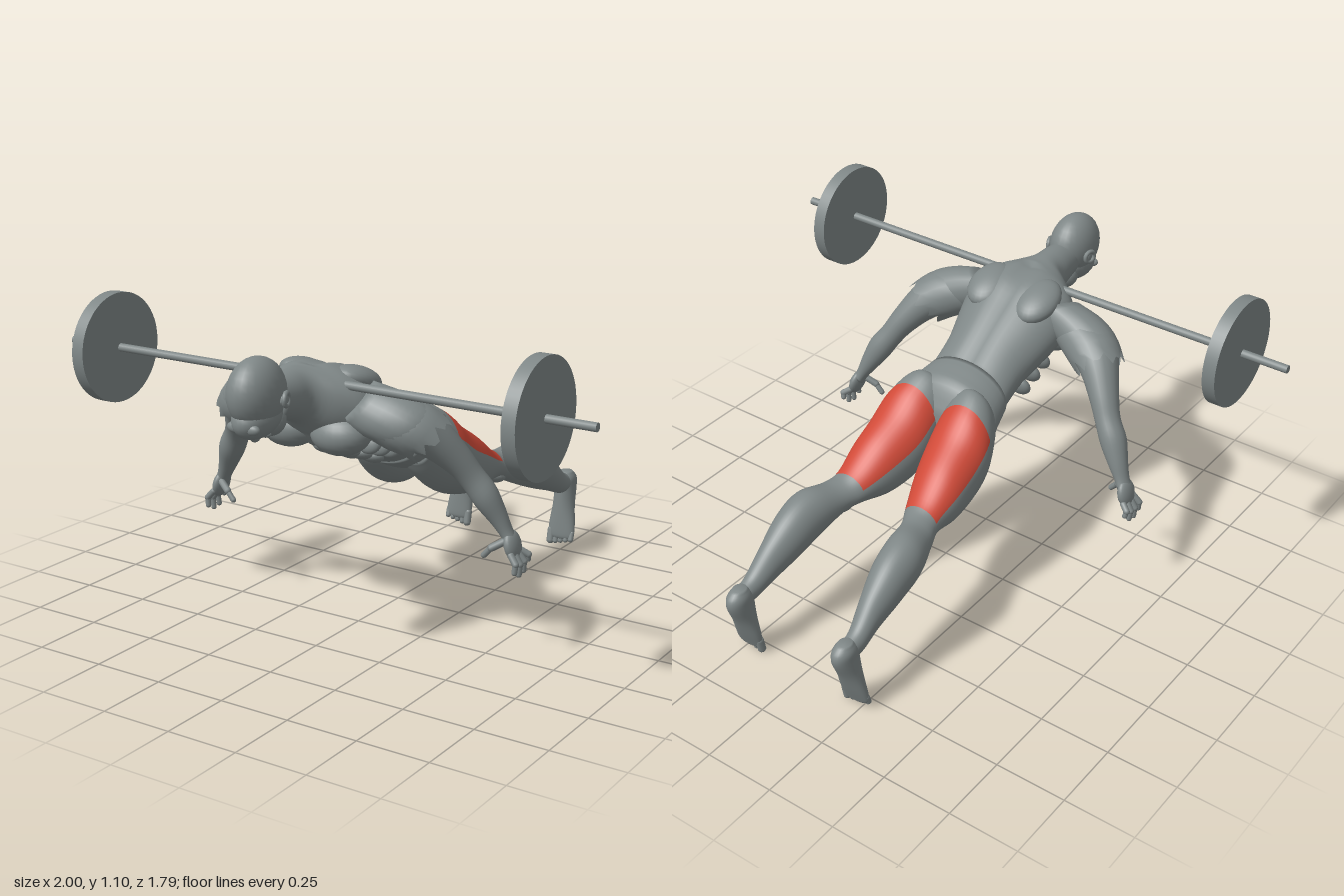
import * as THREE from 'three';

const mat = (name, color, side = THREE.FrontSide) => {
  const m = new THREE.MeshStandardMaterial({ color, side });
  m.name = name;
  return m;
};
const V = (x, y, z) => new THREE.Vector3(x, y, z);

export function createModel() {
  const model = new THREE.Group();
  model.name = 'liftingFigure';
  const grey = mat('slate grey', 0x7f8787);
  const red = mat('muscle red', 0xd04a38);
  const sleeveGrey = mat('sleeve grey', 0x7f8787, THREE.DoubleSide);

  const add = (name, geo, material = grey) => {
    const mesh = new THREE.Mesh(geo, material);
    mesh.name = name;
    model.add(mesh);
    return mesh;
  };

  // Smooth skin through elliptical rings [x, y, z, ru, rv] lying in the u-v plane
  function loft(name, rings, { u = V(1, 0, 0), v = V(0, 1, 0), n = 28, sub = 4, cap = true, deform, isRed, material = grey } = {}) {
    const path = new THREE.CatmullRomCurve3(rings.map(r => V(r[0], r[1], r[2])), false, 'catmullrom', 0.5);
    const size = new THREE.CatmullRomCurve3(rings.map(r => V(r[3], r[4], 0)), false, 'catmullrom', 0.5);
    const steps = (rings.length - 1) * sub, rows = [];
    for (let i = 0; i <= steps; i++) {
      rows.push({ c: path.getPoint(i / steps), s: size.getPoint(i / steps), t: i / steps });
    }
    if (cap) {
      rows.unshift({ ...rows[0], s: V(0, 0, 0) });
      rows.push({ ...rows[rows.length - 1], s: V(0, 0, 0) });
    }
    const pos = [], lists = [[], []];
    for (const { c, s, t } of rows) {
      for (let j = 0; j < n; j++) {
        const a = j / n * Math.PI * 2;
        const p = c.clone().addScaledVector(u, s.x * Math.cos(a)).addScaledVector(v, s.y * Math.sin(a));
        if (deform) deform(p, a, t, j);
        pos.push(p.x, p.y, p.z);
      }
    }
    const along = rows[rows.length - 1].c.clone().sub(rows[0].c);
    const flip = along.dot(u.clone().cross(v)) < 0;
    for (let i = 0; i < rows.length - 1; i++) {
      for (let j = 0; j < n; j++) {
        const k = (j + 1) % n;
        const a = i * n + j, b = i * n + k, c = a + n, d = b + n;
        const z = (rows[i].c.z + rows[i + 1].c.z) / 2;
        const list = lists[isRed && isRed(z, Math.sin((j + 0.5) / n * Math.PI * 2)) ? 1 : 0];
        list.push(...(flip ? [a, d, b, a, c, d] : [a, b, d, a, d, c]));
      }
    }
    const geo = new THREE.BufferGeometry();
    geo.setAttribute('position', new THREE.Float32BufferAttribute(pos, 3));
    geo.setIndex([...lists[0], ...lists[1]]);
    geo.addGroup(0, lists[0].length, 0);
    geo.addGroup(lists[0].length, lists[1].length, 1);
    geo.computeVertexNormals();
    return add(name, geo, isRed ? [grey, red] : material);
  }

  const ball = (name, x, y, z, rx, ry, rz, tilt = 0) => {
    const m = add(name, new THREE.SphereGeometry(1, 24, 16));
    m.position.set(x, y, z);
    m.scale.set(rx, ry, rz);
    m.rotation.x = tilt;
    return m;
  };

  // Rounded finger-like rod from a to b
  const rod = (name, a, b, r) => {
    const d = b.clone().sub(a);
    const m = add(name, new THREE.CapsuleGeometry(r, d.length(), 4, 10));
    m.position.copy(a).add(b).multiplyScalar(0.5);
    m.quaternion.setFromUnitVectors(V(0, 1, 0), d.normalize());
  };

  // Barbell
  const barGeo = new THREE.CylinderGeometry(0.014, 0.014, 2, 20).rotateZ(Math.PI / 2);
  add('bar', barGeo).position.set(0, 0.908, 0.505);
  for (const s of [-1, 1]) {
    const plate = new THREE.CylinderGeometry(0.188, 0.188, 0.046, 56).rotateZ(Math.PI / 2);
    add('weightPlate', plate).position.set(s * 0.812, 0.908, 0.505);
  }

  // Head, tipped forward, with face underneath
  ball('skull', 0, 0.928, 0.785, 0.081, 0.112, 0.111);
  ball('face', 0, 0.855, 0.785, 0.067, 0.066, 0.098, 0.2);
  ball('jaw', 0, 0.83, 0.722, 0.052, 0.052, 0.05);
  ball('nose', 0, 0.797, 0.795, 0.013, 0.022, 0.026);
  ball('lips', 0, 0.792, 0.752, 0.026, 0.013, 0.014);
  for (const s of [-1, 1]) {
    ball('brow', s * 0.03, 0.832, 0.853, 0.03, 0.018, 0.016);
    const ear = add('ear', new THREE.TorusGeometry(0.02, 0.008, 8, 18));
    ear.position.set(s * 0.086, 0.912, 0.752);
    ear.rotation.set(0, Math.PI / 2 + s * 0.3, 0);
    ball('earLobe', s * 0.081, 0.908, 0.754, 0.008, 0.02, 0.02);
  }

  // Torso rings: z, back height, belly height, half width
  const trunk = rows => rows.map(([z, top, low, w]) => [0, (top + low) / 2, z, w, (top - low) / 2]);
  const spine = p => {
    const k = 1 - Math.abs(p.x) / 0.05;
    if (k > 0 && p.z < 0.52 && p.y > 0.7) p.y -= 0.014 * k;
  };
  loft('torso', trunk([
    [0.72, 0.96, 0.83, 0.06], [0.65, 0.965, 0.81, 0.068], [0.59, 0.965, 0.785, 0.08],
    [0.54, 0.962, 0.74, 0.145], [0.48, 0.965, 0.69, 0.198], [0.4, 0.948, 0.655, 0.2],
    [0.32, 0.898, 0.625, 0.183], [0.22, 0.83, 0.58, 0.16], [0.1, 0.745, 0.53, 0.16],
  ]), { n: 48, deform: spine });
  loft('pelvis', trunk([
    [0.12, 0.763, 0.535, 0.168], [0.06, 0.75, 0.508, 0.182], [0.0, 0.725, 0.485, 0.19], [-0.05, 0.63, 0.5, 0.12],
  ]), { n: 40 });

  // Belly muscles and chest
  for (const s of [-1, 1]) {
    ball('chestMuscle', s * 0.098, 0.745, 0.485, 0.105, 0.072, 0.085, 0.2);
    ball('shoulderBlade', s * 0.1, 0.9, 0.4, 0.075, 0.045, 0.1, -0.35);
    [[0.37, 0.648], [0.3, 0.622], [0.23, 0.592]].forEach(([z, y]) =>
      ball('bellyMuscle', s * 0.045, y, z, 0.043, 0.022, 0.036, -0.35));
    for (let i = 0; i < 3; i++) ball('ribMuscle', s * 0.13, 0.69 - i * 0.022, 0.37 - i * 0.06, 0.045, 0.04, 0.024, -0.4);
  }

  for (const s of [-1, 1]) {
    // Leg rings: z, x, top, bottom, half width
    const legRows = [
      [0.06, 0.095, 0.66, 0.53, 0.07], [0.02, 0.1, 0.735, 0.475, 0.094], [-0.06, 0.115, 0.7, 0.405, 0.114],
      [-0.14, 0.122, 0.635, 0.37, 0.113], [-0.235, 0.135, 0.573, 0.357, 0.098], [-0.335, 0.15, 0.495, 0.375, 0.071],
      [-0.4, 0.175, 0.474, 0.363, 0.066], [-0.5, 0.2, 0.487, 0.318, 0.075], [-0.6, 0.207, 0.455, 0.278, 0.067],
      [-0.7, 0.214, 0.378, 0.243, 0.047], [-0.78, 0.222, 0.302, 0.213, 0.035], [-0.84, 0.222, 0.275, 0.215, 0.031],
    ];
    loft('leg', legRows.map(([z, x, top, low, w]) => [s * x, (top + low) / 2, z, w, (top - low) / 2]), {
      n: 36, sub: 6, isRed: (z, up) => z < -0.05 && z > -0.345 && up > 0.36,
    });
    ball('kneecap', s * 0.168, 0.385, -0.37, 0.045, 0.026, 0.045, -0.3);

    // Foot, standing on its toes: y, x, z front, z back, half width
    const footRows = [
      [0.288, 0.222, -0.81, -0.86, 0.022], [0.262, 0.222, -0.785, -0.887, 0.036], [0.225, 0.222, -0.782, -0.889, 0.038],
      [0.16, 0.224, -0.78, -0.862, 0.042], [0.09, 0.226, -0.778, -0.836, 0.052], [0.045, 0.228, -0.778, -0.818, 0.053],
      [0.03, 0.228, -0.782, -0.812, 0.046],
    ];
    loft('foot', footRows.map(([y, x, f, b, w]) => [s * x, y, (f + b) / 2, w, (f - b) / 2]), { v: V(0, 0, 1), n: 24 });
    for (let i = 0; i < 5; i++) {
      const r = i === 0 ? 0.015 : 0.0105, x = 0.186 + i * 0.0215;
      rod('toe', V(s * x, 0.055, -0.798), V(s * x, r + i * 0.005, -0.79), r);
    }

    // Arm, with rings square to its direction
    const u = V(s * 0.77, 0.64, 0), v = V(s * 0.27, -0.33, 0.905);
    const armRows = [
      [0.14, 0.85, 0.46, 0.085, 0.08], [0.23, 0.82, 0.45, 0.095, 0.09], [0.31, 0.785, 0.425, 0.09, 0.088],
      [0.375, 0.74, 0.375, 0.066, 0.068], [0.43, 0.67, 0.325, 0.05, 0.052], [0.466, 0.61, 0.295, 0.044, 0.044],
      [0.505, 0.55, 0.275, 0.046, 0.046], [0.54, 0.485, 0.255, 0.034, 0.035], [0.565, 0.435, 0.245, 0.024, 0.028],
      [0.58, 0.405, 0.242, 0.022, 0.032],
    ];
    loft('arm', armRows.map(([x, ...r]) => [s * x, ...r]), { u, v, n: 24 });

    // Ragged shoulder cap
    loft('shoulderCap', [
      [s * 0.26, 0.805, 0.44, 0.094, 0.092], [s * 0.31, 0.78, 0.42, 0.096, 0.095], [s * 0.362, 0.748, 0.39, 0.084, 0.09],
    ], {
      u, v, n: 26, sub: 2, cap: false, material: sleeveGrey,
      deform: (p, a, t, j) => {
        if (t > 0.9) p.addScaledVector(V(s * 0.6, -0.7, -0.35), 0.02 * Math.sin(j * 2.3) + 0.008 * Math.sin(j * 5.1));
      },
    });

    // Hand, fingers hanging down
    ball('palm', s * 0.587, 0.39, 0.24, 0.022, 0.05, 0.043).rotation.z = s * 0.25;
    for (let i = 0; i < 4; i++) {
      const z = 0.272 - i * 0.022, drop = [0.015, 0, 0.006, 0.035][i];
      const knuckle = V(s * 0.599, 0.365, z), joint = V(s * 0.62, 0.333 + drop / 2, z + 0.006 - i * 0.006);
      rod('finger', knuckle, joint, 0.0115);
      rod('fingertip', joint, V(s * 0.617, 0.298 + drop, z + 0.008 - i * 0.008), 0.0095);
    }
    rod('thumb', V(s * 0.57, 0.405, 0.262), V(s * 0.53, 0.38, 0.278), 0.0125);
    rod('thumbTip', V(s * 0.53, 0.38, 0.278), V(s * 0.505, 0.352, 0.28), 0.01);
  }

  return model;
}
